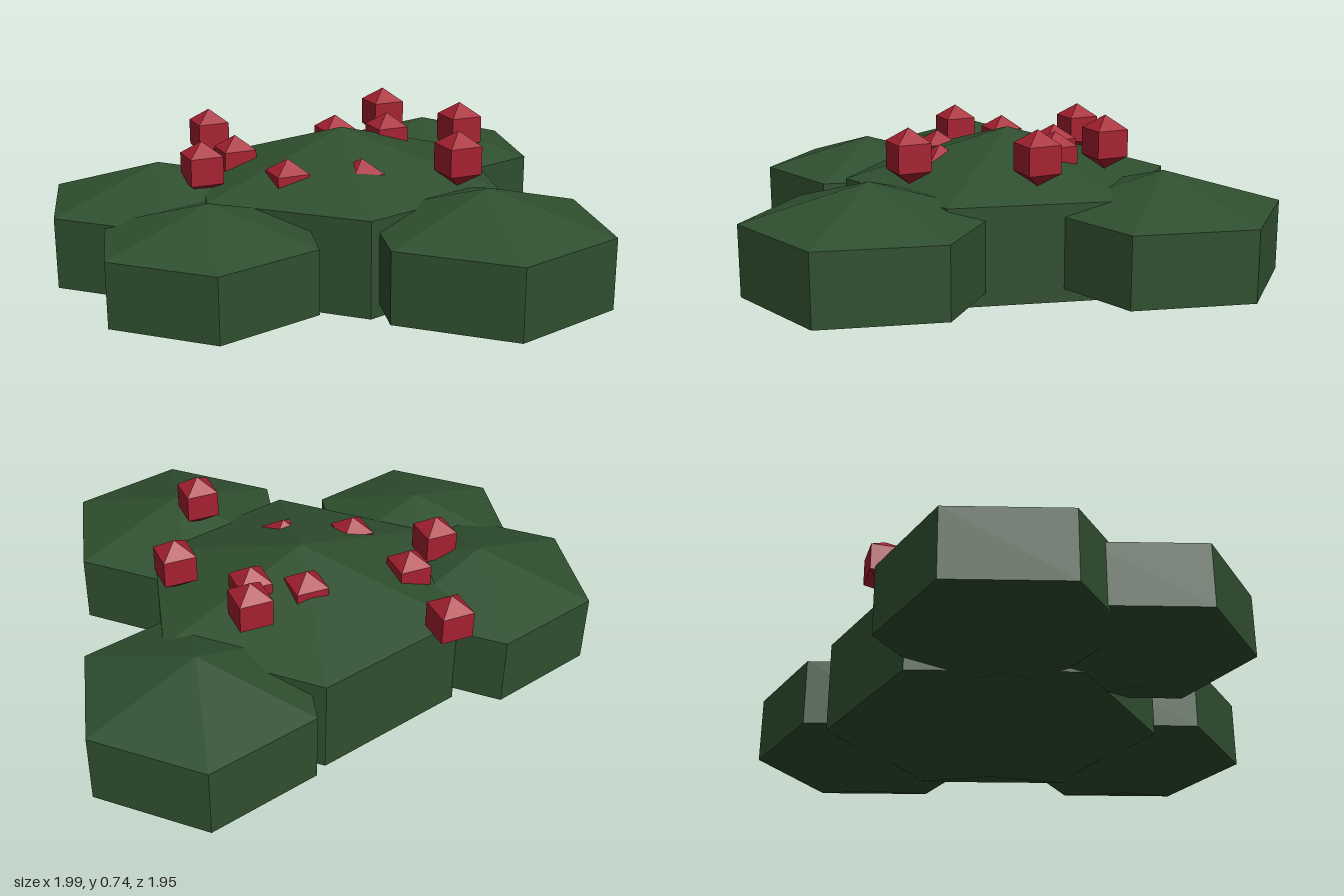
import * as THREE from 'three';

export function createModel() {
  const model = new THREE.Group();
  model.name = 'berryBush';

  const leafGreen = new THREE.MeshStandardMaterial({ color: 0x2f4f2f, flatShading: true });
  leafGreen.name = 'leafGreen';
  const berryRed = new THREE.MeshStandardMaterial({ color: 0xa52030, flatShading: true });
  berryRed.name = 'berryRed';

  // Six-sided squashed foliage clumps: name, x, z, radius, half height
  const clumps = [
    ['centreFoliage', -0.04, -0.01, 0.67, 0.336],
    ['backFoliage', 0.08, -0.61, 0.483, 0.245],
    ['leftFoliage', 0.57, 0.25, 0.49, 0.245],
    ['rightFoliage', -0.59, 0.34, 0.473, 0.245],
    ['frontFoliage', -0.25, 0.645, 0.44, 0.22],
  ];
  const clumpGeometry = new THREE.SphereGeometry(1, 6, 3);
  for (const [name, x, z, radius, halfHeight] of clumps) {
    const clump = new THREE.Mesh(clumpGeometry, leafGreen);
    clump.name = name;
    clump.position.set(x, 0.34, z);
    clump.scale.set(radius, halfHeight, radius);
    model.add(clump);
  }

  // Four-sided berries: x, height of the tip, z
  const berries = [
    [-0.01, 0.745, -0.38],
    [0.06, 0.69, -0.22],
    [0.33, 0.745, -0.245],
    [-0.12, 0.68, -0.16],
    [-0.61, 0.675, -0.105],
    [-0.39, 0.65, 0.135],
    [-0.42, 0.675, 0.34],
    [-0.12, 0.63, 0.295],
    [0.44, 0.745, 0.165],
    [0.11, 0.625, 0.19],
  ];
  const berryRadius = 0.095;
  const berryGeometry = new THREE.SphereGeometry(berryRadius, 4, 3);
  berries.forEach(([x, tip, z], i) => {
    const berry = new THREE.Mesh(berryGeometry, berryRed);
    berry.name = `berry${i + 1}`;
    berry.position.set(x, tip - berryRadius, z);
    model.add(berry);
  });

  return model;
}
